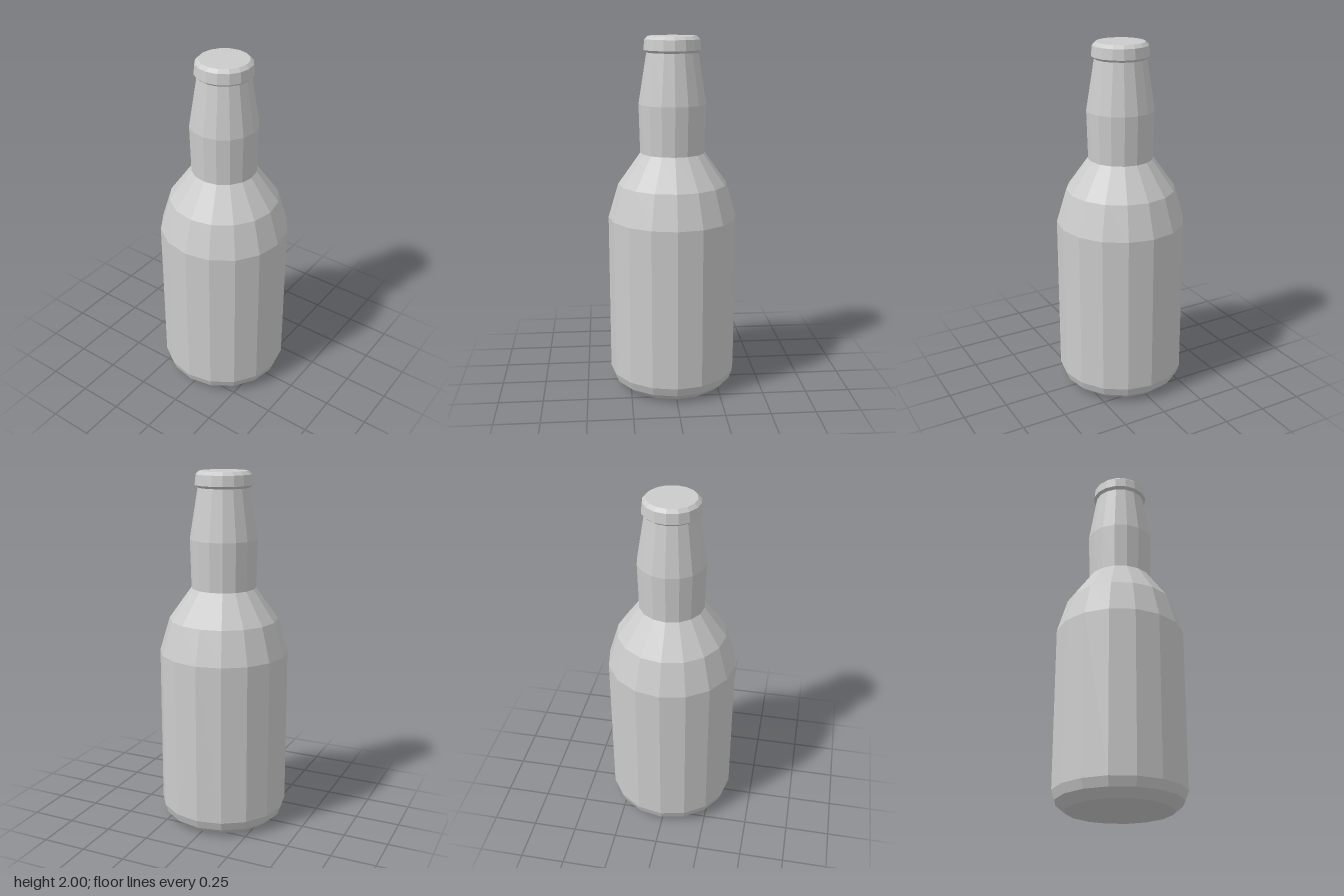
import * as THREE from 'three';

const SIDES = 16;
const material = new THREE.MeshStandardMaterial({ color: 0xcccccc, flatShading: true });

// Faceted ring of surface from a [radius, height] profile, listed bottom to top
function turned(name, profile) {
  const points = profile.map(([r, y]) => new THREE.Vector2(r, y));
  const mesh = new THREE.Mesh(new THREE.LatheGeometry(points, SIDES), material);
  mesh.name = name;
  return mesh;
}

export function createModel() {
  const bottle = new THREE.Group();
  bottle.name = 'bottle';

  // Closed base with a two-step bevel, straight wall
  bottle.add(turned('body', [[0, 0], [0.29, 0], [0.344, 0.045], [0.362, 0.095], [0.362, 1.0]]));
  // Two-step taper to the neck
  bottle.add(turned('shoulder', [[0.362, 1.0], [0.305, 1.19], [0.18, 1.365]]));
  // Slightly bulging neck narrowing to the lip
  bottle.add(turned('neck', [[0.18, 1.365], [0.187, 1.635], [0.142, 1.912]]));
  // Flared lip with a bevelled, closed top
  bottle.add(turned('lip', [[0.142, 1.912], [0.158, 1.925], [0.152, 1.982], [0.133, 2.0], [0, 2.0]]));

  return bottle;
}
